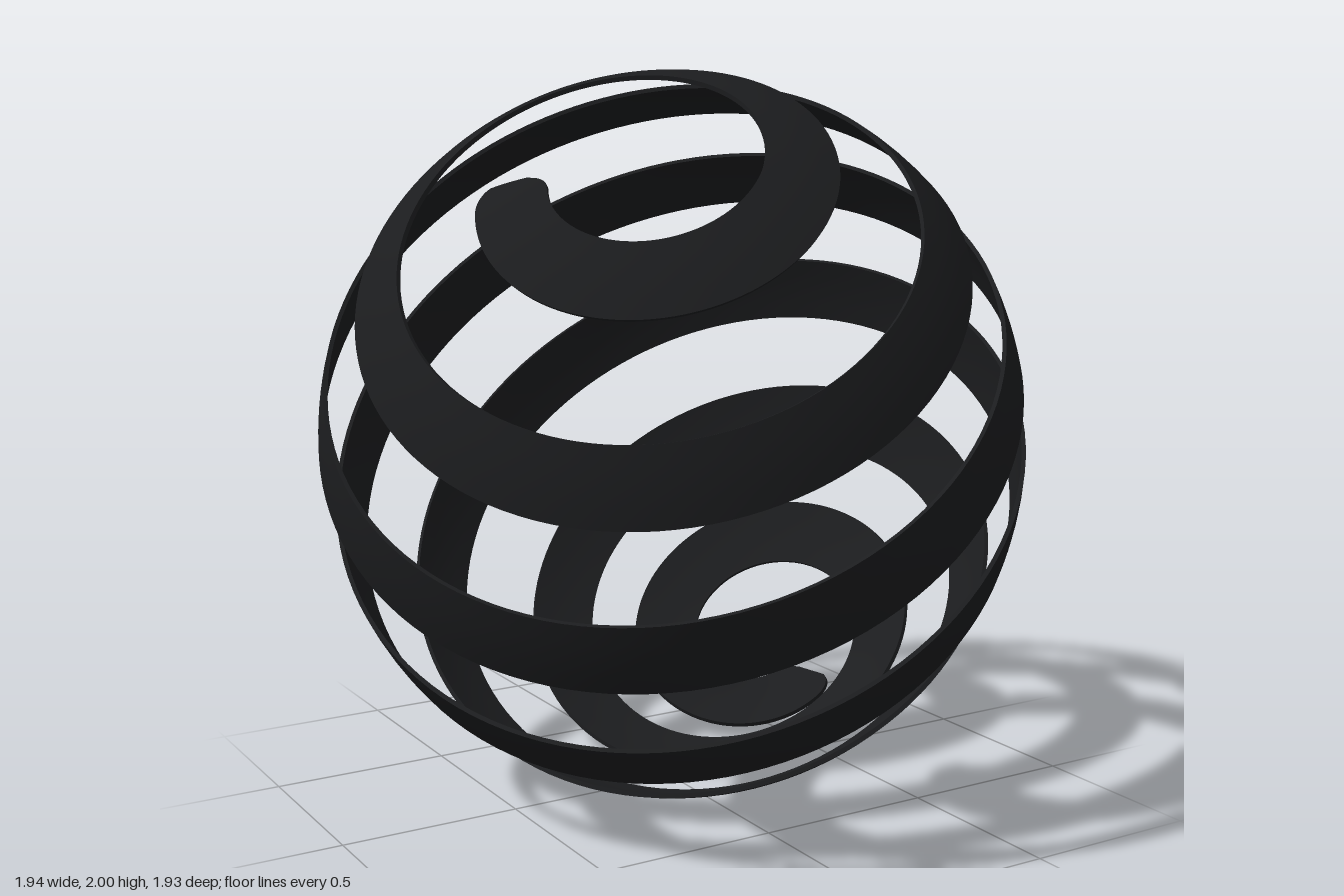
import * as THREE from 'three';
import { toCreasedNormals } from 'three/addons/utils/BufferGeometryUtils.js';

const RAD = Math.PI / 180;
const RADII = new THREE.Vector3(0.972, 1, 0.968);  // slightly tall ball
const THICK = 0.012;
const HALF_WIDTH = 5.75 * RAD;      // half the ribbon width, as an angle
const START = -133, END = 2168;     // winding angles of the two tips, degrees

// Angle from the upper pole, at equal steps of winding
const LATITUDE = new THREE.SplineCurve(
  [15.5, 43.7, 71, 98.1, 124.8, 150.8, 168].map((a, i) => new THREE.Vector2(i, a))
);

// The spiral axis leans slightly differently at its two ends
const AXIS_TOP = new THREE.Vector3(-0.44, 0.77, 0.46).normalize();
const AXIS_BOTTOM = new THREE.Vector3(-0.536, 0.757, 0.375).normalize();

// Unit direction of the ribbon's centre line at a winding angle
function centreLine(deg) {
  const theta = LATITUDE.getPoint(THREE.MathUtils.clamp((deg - START) / (END - START), 0, 1)).y;
  const axis = AXIS_TOP.clone()
    .lerp(AXIS_BOTTOM, THREE.MathUtils.smoothstep(theta, 30, 145)).normalize();
  const u = new THREE.Vector3(0, 0, 1).addScaledVector(axis, -axis.z).normalize();
  const v = axis.clone().cross(u);
  const t = theta * RAD, p = deg * RAD;
  return axis.multiplyScalar(Math.cos(t))
    .addScaledVector(u, Math.sin(t) * Math.cos(p))
    .addScaledVector(v, Math.sin(t) * Math.sin(p));
}

// Closed ribbon with a thin curved rectangular section and rounded tips
function ribbonGeometry() {
  const angles = [];
  for (let d = START; d < END; d += (d < START + 30 || d > END - 33) ? 1 : 3) angles.push(d);
  angles.push(END);

  const centres = angles.map(centreLine);
  const along = [0];
  for (let i = 1; i < centres.length; i++) along.push(along[i - 1] + centres[i].distanceTo(centres[i - 1]));
  const total = along[along.length - 1];

  const ACROSS = 5, RING = ACROSS * 2, ROUND = 0.06;
  const pos = [], index = [];
  centres.forEach((n, i) => {
    const tangent = centreLine(angles[i] + 0.5).sub(centreLine(angles[i] - 0.5)).normalize();
    const side = n.clone().cross(tangent).normalize();
    // round the corners at both tips
    const s = Math.min(along[i], total - along[i], ROUND);
    const half = HALF_WIDTH - ROUND + Math.sqrt(ROUND * ROUND - (ROUND - s) ** 2);
    // the lower tip lifts gently off the ball
    const lift = 0.055 * THREE.MathUtils.smoothstep(angles[i], END - 130, END);
    for (let j = 0; j < RING; j++) {
      const outer = j < ACROSS;
      const k = outer ? j : RING - 1 - j;
      const a = half * (2 * k / (ACROSS - 1) - 1);
      const r = 1 + lift - (outer ? 0 : THICK);
      const p = n.clone().multiplyScalar(Math.cos(a)).addScaledVector(side, Math.sin(a))
        .multiply(RADII).multiplyScalar(r);
      pos.push(p.x, p.y, p.z);
    }
  });

  const last = (centres.length - 1) * RING;
  for (let b = 0; b < last; b += RING) {
    for (let j = 0; j < RING; j++) {
      const k = (j + 1) % RING;
      index.push(b + j, b + RING + j, b + RING + k, b + j, b + RING + k, b + k);
    }
  }
  // end caps
  for (let j = 0; j < ACROSS - 1; j++) {
    const k = RING - 1 - j;
    index.push(j, j + 1, k - 1, j, k - 1, k);
    index.push(last + j, last + k - 1, last + j + 1, last + j, last + k, last + k - 1);
  }

  const geo = new THREE.BufferGeometry();
  geo.setAttribute('position', new THREE.Float32BufferAttribute(pos, 3));
  geo.setIndex(index);

  // centre it and stand it on the ground
  geo.computeBoundingBox();
  const mid = geo.boundingBox.getCenter(new THREE.Vector3());
  geo.translate(-mid.x, -geo.boundingBox.min.y, -mid.z);
  return toCreasedNormals(geo, 40 * RAD);
}

export function createModel() {
  const group = new THREE.Group();
  group.name = 'spiralSphere';
  const ribbon = new THREE.Mesh(
    ribbonGeometry(),
    new THREE.MeshStandardMaterial({ color: 0x1c1d1f, side: THREE.DoubleSide })
  );
  ribbon.name = 'spiralRibbon';
  group.add(ribbon);
  return group;
}
